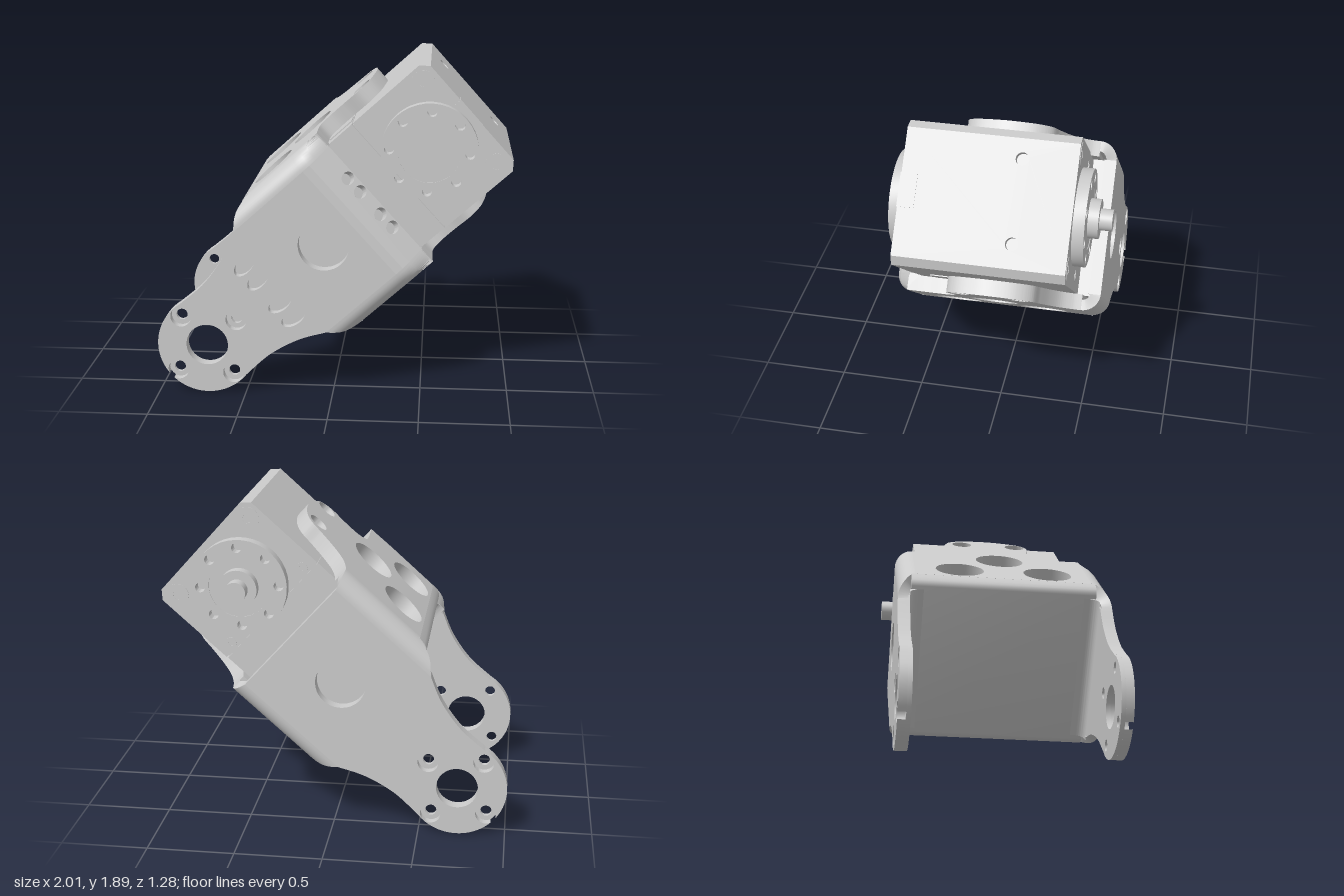
import * as THREE from 'three';
import { toCreasedNormals } from 'three/addons/utils/BufferGeometryUtils.js';

const grey = new THREE.MeshStandardMaterial({ color: 0xcccccc });
const greyDouble = new THREE.MeshStandardMaterial({ color: 0xcccccc, side: THREE.DoubleSide });
const V2 = (a) => a.map(([x, y]) => new THREE.Vector2(x, y));

// Local frame: x runs along the arm from the ear hole to the servo, y across it.
export function createModel() {
  const model = new THREE.Group();
  const arm = new THREE.Group();
  arm.name = 'jointAssembly';
  arm.position.set(-0.72, 0.285, 0);
  arm.rotation.z = THREE.MathUtils.degToRad(42);
  model.add(arm);

  const add = (name, geo, mat = grey) => {
    const m = new THREE.Mesh(geo, mat);
    m.name = name;
    arm.add(m);
  };
  const extrude = (shape, depth) => toCreasedNormals(
    new THREE.ExtrudeGeometry(shape, { depth, bevelEnabled: false, curveSegments: 20 }), 0.6);
  const hole = (shape, x, y, rx, ry = rx, rot = 0) =>
    shape.holes.push(new THREE.Path().absellipse(x, y, rx, ry, 0, Math.PI * 2, false, rot));
  const box = (name, x0, x1, y0, y1, z0, z1) => add(name,
    new THREE.BoxGeometry(x1 - x0, y1 - y0, z1 - z0)
      .translate((x0 + x1) / 2, (y0 + y1) / 2, (z0 + z1) / 2));
  const disc = (name, x, y, z0, z1, r) => add(name,
    new THREE.CylinderGeometry(r, r, Math.abs(z1 - z0), 40)
      .rotateX(Math.PI / 2).translate(x, y, (z0 + z1) / 2));
  const rect = (x0, x1, y0, y1) => new THREE.Shape(V2([[x0, y0], [x1, y0], [x1, y1], [x0, y1]]));

  // Side plates with their ears, each an outer and an inner layer
  const flank = [[0.57, 0.39], [0.42, 0.32], [0.237, 0.279], [0.048, 0.281]];
  const bolts = [[0, 0.223], [0.227, 0], [0, -0.223], [-0.227, 0]];
  const plateShape = (end, outer) => {
    const s = new THREE.Shape();
    s.moveTo(end, -0.39);
    s.lineTo(end, 0.39);
    s.lineTo(0.57, 0.39);
    s.splineThru(V2(flank.slice(1)));
    if (outer) {
      // the last counterbore breaks through the rim of the ear
      s.absarc(0, 0, 0.285, 1.4, Math.PI - 0.073, false);
      s.absarc(-0.227, 0, 0.06, Math.PI - 0.35, -Math.PI + 0.35, true);
      s.absarc(0, 0, 0.285, Math.PI + 0.073, Math.PI * 2 - 1.4, false);
    } else {
      s.absarc(0, 0, 0.285, 1.4, Math.PI * 2 - 1.4, false);
    }
    s.splineThru(V2(flank.slice(0, 3).reverse().map(([x, y]) => [x, -y])));
    hole(s, 0, 0, 0.12);
    hole(s, 0.903, 0, 0.145);
    bolts.slice(0, outer ? 3 : 4).forEach(([x, y]) => hole(s, x, y, outer ? 0.06 : 0.032));
    return s;
  };
  const bend = [[1.1, 0.64], [1.15, 0.633], [1.195, 0.608], [1.285, 0.535]];
  const frontOuter = plateShape(bend[0][0], true);
  [[0.206, 0.14], [0.093, 0.08], [-0.092, -0.08], [-0.204, -0.14]]
    .forEach(([y, rot]) => hole(frontOuter, 0.485, y, 0.076, 0.042, rot));
  add('frontPlateOuter', extrude(frontOuter, 0.045).translate(0, 0, 0.595));
  add('frontPlateInner', extrude(plateShape(bend[0][0], false), 0.025).translate(0, 0, 0.57));
  add('backPlateOuter', extrude(plateShape(1.29, true), 0.045).translate(0, 0, -0.587));
  add('backPlateInner', extrude(plateShape(1.29, false), 0.025).translate(0, 0, -0.542));

  // Front plate end bending in toward the servo
  for (let i = 0; i < 3; i++) {
    const [x, z] = bend[i];
    const dx = bend[i + 1][0] - x, dz = bend[i + 1][1] - z;
    const s = rect(0, Math.hypot(dx, dz), -0.39, 0.39);
    if (i === 2) [0.188, 0.085, -0.085, -0.186].forEach((y) => hole(s, 0.07, y, 0.042, 0.036));
    add('frontPlateBend', extrude(s, 0.05).translate(0, 0, -0.05)
      .rotateY(Math.atan2(-dz, dx)).translate(x, 0, z));
  }

  // Rounded corners joining the side plates to the webs
  const corner = (sy, front) => {
    const pos = [], idx = [], n = 10;
    let m;
    for (let i = 0; i <= n; i++) {
      const t = (i / n) * Math.PI / 2, s = Math.sin(t), c = Math.cos(t);
      const start = [0.57 + 0.1 * s + 0.09 * s ** 6, 0];
      const run = front ? [start, ...bend.map(([x, z]) => [x, 0.64 - z])]
        : [start, [1.29 + 0.03 * s, 0]];
      const loop = [...run.map((p) => [...p, 0.1]), ...run.map((p) => [...p, 0.04]).reverse()];
      m = loop.length;
      loop.forEach(([x, drop, r]) => pos.push(x, sy * (0.39 + r * s),
        front ? 0.54 + (r - drop) * c : -0.487 - r * c));
    }
    for (let i = 0; i < n; i++) for (let j = 0; j < m; j++) {
      const a = i * m + j, b = i * m + (j + 1) % m;
      if (sy > 0 === front) idx.push(a, a + m, b, b, a + m, b + m);
      else idx.push(a, b, a + m, b, b + m, a + m);
    }
    const g = new THREE.BufferGeometry();
    g.setAttribute('position', new THREE.Float32BufferAttribute(pos, 3));
    g.setIndex(idx);
    add(front ? 'frontCorner' : 'backCorner', toCreasedNormals(g, 0.7), greyDouble);
  };
  for (const sy of [1, -1]) for (const front of [true, false]) corner(sy, front);

  // Webs with lightening pockets and the tongue that holds the servo
  const web = new THREE.Shape();
  web.moveTo(0.755, -0.487);
  web.lineTo(0.755, 0.54);
  web.lineTo(1.285, 0.54);
  web.splineThru(V2([[1.28, 0.42], [1.285, 0.29], [1.35, 0.24], [1.45, 0.235], [1.57, 0.25],
    [1.65, 0.2], [1.69, 0.08], [1.7, -0.03], [1.68, -0.16], [1.63, -0.24], [1.54, -0.275],
    [1.44, -0.32], [1.37, -0.37], [1.335, -0.43], [1.32, -0.487]]));
  [[0.915, -0.22], [0.915, 0.3], [1.19, 0.04]].forEach(([x, z]) => hole(web, x, z, 0.142));
  [-0.16, 0.175].forEach((z) => hole(web, 1.59, z, 0.06));
  for (const y of [0.49, -0.4]) add('web', extrude(web, 0.09).rotateX(Math.PI / 2).translate(0, y, 0));

  // Screws sunk in the tongues
  const ring = (r, inner, h) => {
    const s = new THREE.Shape().absarc(0, 0, r, 0, Math.PI * 2, false);
    s.holes.push(new THREE.Path().setFromPoints(V2([0, 1, 2, 3, 4, 5].map((k) =>
      [inner * Math.cos(k * Math.PI / 3), inner * Math.sin(k * Math.PI / 3)]))));
    return extrude(s, h);
  };
  for (const sy of [1, -1]) for (const z of [-0.16, 0.175]) {
    add('tongueScrew', ring(0.046, 0.022, 0.03).rotateX(-sy * Math.PI / 2).translate(1.59, sy * 0.4, z));
  }

  // Core, round-edged floor and floor fillets between the ears
  box('core', 0.71, 1.195, -0.4, 0.4, -0.52, 0.56);
  const side = [[0.67, 0.44], [0.676, 0.458], [0.69, 0.473], [0.715, 0.484], [0.757, 0.49]];
  const floor = new THREE.Shape(V2([...side.map(([x, y]) => [x, -y]), ...side.reverse()]));
  add('floor', extrude(floor, 1.07).translate(0, 0, -0.51));
  for (const [z, s] of [[0.57, 1], [-0.517, -1]]) {
    const f = new THREE.Shape();
    f.moveTo(0.69, z);
    f.lineTo(0.59, z);
    f.quadraticCurveTo(0.67, z, 0.67, z - s * 0.08);
    f.lineTo(0.69, z - s * 0.08);
    add('floorFillet', extrude(f, 0.84).rotateX(Math.PI / 2).translate(0, 0.42, 0));
  }

  // Servo case
  box('servoLowerCase', 1.195, 1.455, -0.394, 0.394, -0.445, 0.485);
  box('servoUpperCase', 1.463, 1.955, -0.395, 0.395, -0.45, 0.49);
  box('servoSeam', 1.44, 1.47, -0.385, 0.385, -0.435, 0.475);
  const capShape = rect(-0.35, 0.35, -0.45, 0.49);
  [0.238, -0.218].forEach((y) => hole(capShape, y, -0.15, 0.036));
  const cap = new THREE.ExtrudeGeometry(capShape, { depth: 0.045, bevelEnabled: false, curveSegments: 16 });
  const p = cap.attributes.position;
  for (let i = 0; i < p.count; i++) {
    // widen the base so that the long edges are chamfered
    if (p.getZ(i) < 0.01 && Math.abs(p.getX(i)) > 0.3) p.setX(i, Math.sign(p.getX(i)) * 0.395);
  }
  // cap axes: shape x to across, shape y to depth, extrusion to along
  cap.applyMatrix4(new THREE.Matrix4().makeBasis(new THREE.Vector3(0, 1, 0),
    new THREE.Vector3(0, 0, 1), new THREE.Vector3(1, 0, 0))).translate(1.955, 0, 0);
  add('servoEndCap', toCreasedNormals(cap, 0.5));
  box('endTab', 1.9, 2.003, -0.085, 0.1, 0.4, 0.494);
  for (const s of [1, -1]) {
    box('cableSocket', 1.28, 1.45, s * 0.385 - 0.015, s * 0.385 + 0.015, 0.25, 0.38);
  }

  // Output horns with eight screw holes, on both faces
  const shaftX = 1.688;
  const horn = new THREE.Shape().absarc(0, 0, 0.272, 0, Math.PI * 2, false);
  hole(horn, 0, 0, 0.175);
  for (let k = 0; k < 8; k++) {
    hole(horn, 0.225 * Math.cos(k * Math.PI / 4), 0.225 * Math.sin(k * Math.PI / 4), 0.028);
  }
  add('frontHorn', extrude(horn, 0.06).translate(shaftX, 0, 0.49));
  add('backHorn', extrude(horn, 0.065).translate(shaftX, 0, -0.515));
  disc('frontHornCentre', shaftX, 0, 0.48, 0.546, 0.18);
  disc('backHornCentre', shaftX, 0, -0.44, -0.511, 0.18);
  disc('backHub', shaftX, 0, -0.5, -0.57, 0.11);
  disc('backShaft', shaftX, 0, -0.56, -0.64, 0.06);

  // Case screws
  for (const y of [0.31, -0.31]) {
    add('frontCaseScrew', ring(0.066, 0.028, 0.006).translate(1.911, y, 0.487));
    add('backCaseScrew', ring(0.066, 0.028, 0.006).translate(1.911, y, -0.453));
    add('backCaseRivet', ring(0.032, 0.018, 0.006).translate(1.5, y, -0.453));
  }
  return model;
}
